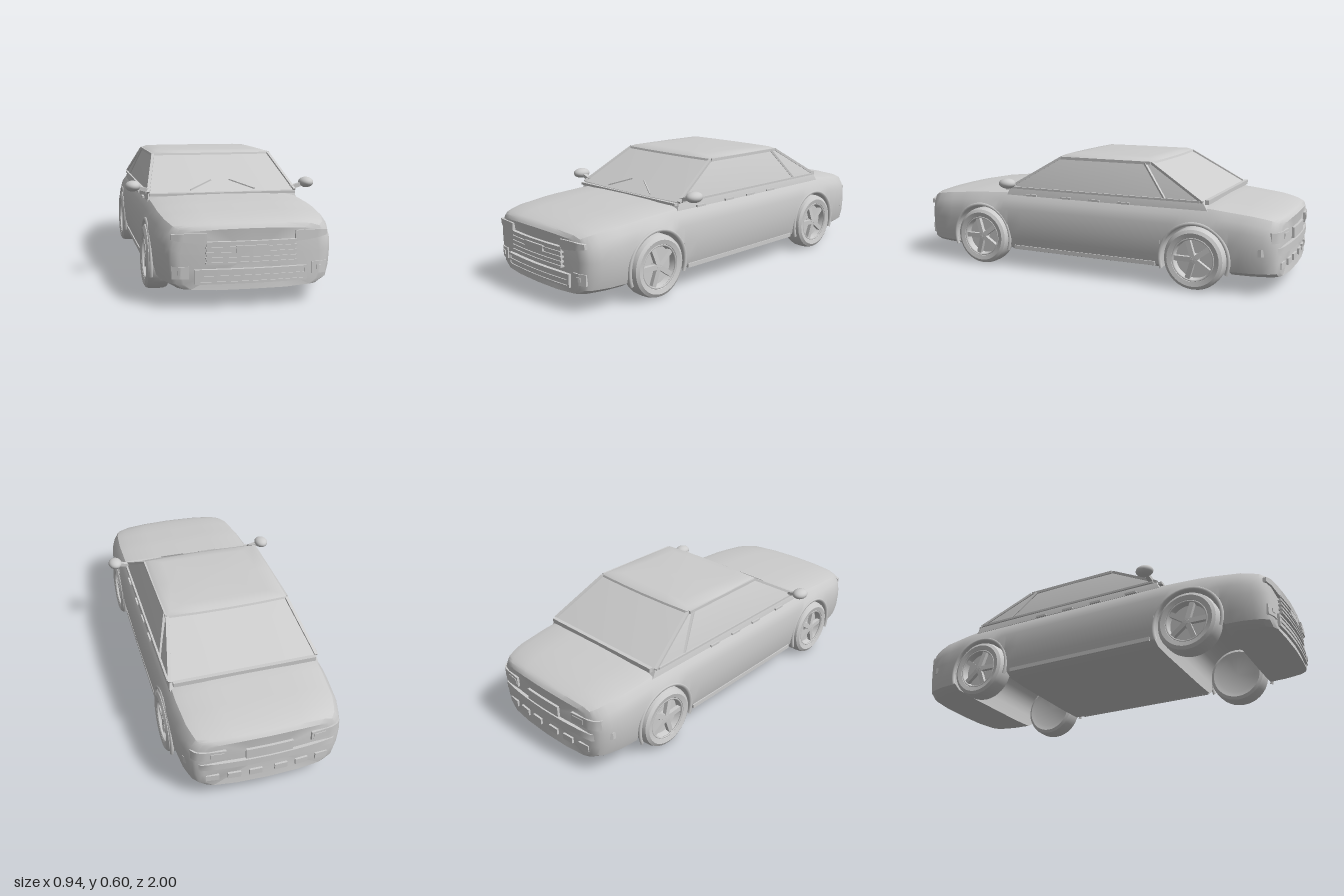
import * as THREE from 'three';
import { toCreasedNormals } from 'three/addons/utils/BufferGeometryUtils.js';

const paint = new THREE.MeshStandardMaterial({ color: 0xcccccc });
paint.name = 'light grey';
const V = (x, y, z) => new THREE.Vector3(x, y, z);

// Linear lookup in a list of [key, value] with falling keys
function lookup(table, k) {
  for (let i = 0; i < table.length - 1; i++) {
    const [a, va] = table[i], [b, vb] = table[i + 1];
    if (k >= b) return va + (vb - va) * Math.min(1, Math.max(0, (a - k) / (a - b)));
  }
  return table[table.length - 1][1];
}

// Closed skin through a list of rings, with end caps
function loft(rings, crease = 0.6) {
  const n = rings[0].length, pos = [], idx = [];
  rings.forEach(r => r.forEach(p => pos.push(...p)));
  for (let i = 0; i < rings.length - 1; i++) for (let j = 0; j < n; j++) {
    const a = i * n + j, b = i * n + (j + 1) % n;
    idx.push(a, b, a + n, b, b + n, a + n);
  }
  [0, rings.length - 1].forEach((r, end) => {
    const c = pos.length / 3;
    pos.push(...[0, 1, 2].map(k => rings[r].reduce((s, p) => s + p[k], 0) / n));
    for (let j = 0; j < n; j++) {
      const a = r * n + j, b = r * n + (j + 1) % n;
      idx.push(c, ...(end ? [a, b] : [b, a]));
    }
  });
  const g = new THREE.BufferGeometry();
  g.setAttribute('position', new THREE.Float32BufferAttribute(pos, 3));
  g.setIndex(idx);
  return toCreasedNormals(g.toNonIndexed(), crease);
}

function add(parent, name, geo) {
  const m = new THREE.Mesh(geo, paint);
  m.name = name;
  parent.add(m);
  return m;
}

// Straight bar between two points
function bar(parent, name, a, b, w, h) {
  const m = add(parent, name, new THREE.BoxGeometry(w, h, a.distanceTo(b)));
  m.position.copy(a).lerp(b, 0.5);
  m.lookAt(b);
  return m;
}

const AXLES = [0.595, -0.585], ARCH = 0.17, WHEEL_Y = 0.15;
const HEIGHT = [[0.99, 0.335], [0.975, 0.352], [0.94, 0.364], [0.85, 0.38], [0.65, 0.4], [0.45, 0.41],
  [-0.65, 0.41], [-0.85, 0.388], [-0.94, 0.37], [-0.975, 0.358], [-0.99, 0.34]];
const WIDTH = [[0.99, 0.3], [0.975, 0.335], [0.94, 0.36], [0.85, 0.385], [0.7, 0.398], [0, 0.402]];
const NOSE = [[0.4, 0.8], [0.375, 0.89], [0.36, 0.923], [0.335, 0.956], [0.3, 0.97], [0.2, 0.981], [0.1, 0.988], [0, 0.99]];

// One cross-section of the lower body; the underside lifts over the axles
function section(z, floor) {
  const t = lookup(HEIGHT, z), w = lookup(WIDTH, Math.abs(z));
  const end = Math.max(0, (Math.abs(z) - 0.9) / 0.09);
  const half = [[0.45, t - 0.002], [0.78, t - 0.008], [0.9, t - 0.02], [0.965, t - 0.055], [0.995, t - 0.1],
    [1, 0.23], [0.985, 0.155], [0.95, 0.105], [0.85, 0.083], [0.5, 0.078]];
  const pts = [[0, t], ...half, [0, 0.078], ...half.map(([x, y]) => [-x, y]).reverse()];
  return pts.map(([x, y]) => [x * w, Math.max(y, floor), z - Math.sign(z) * 0.02 * Math.min(1, end) * x * x]);
}

function bodyShell() {
  const stations = [0.99, 0.985, 0.975, 0.96, 0.94, 0.9, 0.85, 0.8, 0.35, 0.1, -0.15, -0.35,
    -0.8, -0.85, -0.9, -0.94, -0.96, -0.975, -0.985, -0.99].map(z => [z, 0]);
  for (const c of AXLES) {
    stations.push([c + ARCH + 0.0005, 0], [c - ARCH - 0.0005, 0]);
    for (let i = 0; i <= 14; i++) {
      const a = Math.PI * i / 14;
      stations.push([c + ARCH * Math.cos(a), WHEEL_Y + ARCH * Math.sin(a)]);
    }
  }
  stations.sort((a, b) => b[0] - a[0]);
  return loft(stations.map(s => section(...s)));
}

// Horizontal ring of the cabin with bowed front and back
const cabinRing = (y, x, front, back, bow) => [[-x, y, back], [-x / 2, y, back - bow * 0.75], [0, y, back - bow],
  [x / 2, y, back - bow * 0.75], [x, y, back], [x + 0.005, y, (front + back) / 2], [x, y, front],
  [x / 2, y, front + bow * 0.75], [0, y, front + bow], [-x / 2, y, front + bow * 0.75], [-x, y, front],
  [-x - 0.005, y, (front + back) / 2]];

// Thin panel that follows the rounded nose (or tail when back is true)
function panel(parent, name, x0, x1, y0, y1, depth = 0.008, back = false, taper = 0) {
  const g = new THREE.BoxGeometry(x1 - x0, y1 - y0, depth, 12, 1, 1);
  g.translate((x0 + x1) / 2, 0, 0);
  const p = g.attributes.position;
  for (let i = 0; i < p.count; i++) {
    const x = p.getX(i), f = (Math.abs(x) - Math.min(Math.abs(x0), Math.abs(x1))) / (x1 - x0);
    p.setY(i, p.getY(i) * (1 - taper * f * f) + (y0 + y1) / 2 + taper * 0.015 * f);
    p.setZ(i, p.getZ(i) + lookup(NOSE, Math.abs(x)));
  }
  if (back) g.rotateY(Math.PI);
  g.computeVertexNormals();
  return add(parent, name, g);
}
function panelPair(parent, name, x0, x1, ...rest) {
  panel(parent, name, x0, x1, ...rest);
  panel(parent, name, -x1, -x0, ...rest);
}

// Wheel with its outer face on local +y
function wheel() {
  const g = new THREE.Group();
  g.name = 'wheel';
  const profile = [[0, -0.045], [0.1, -0.045], [0.128, -0.055], [0.143, -0.046], [0.149, -0.028], [0.15, 0],
    [0.149, 0.028], [0.143, 0.046], [0.128, 0.055], [0.106, 0.05], [0.1, 0.04], [0.094, 0.012], [0, 0.012]];
  const tyre = new THREE.LatheGeometry(profile.map(p => new THREE.Vector2(...p)), 36);
  add(g, 'tyreAndRim', toCreasedNormals(tyre.toNonIndexed(), 0.6));
  const lip = add(g, 'rimLip', new THREE.TorusGeometry(0.101, 0.005, 6, 36));
  lip.rotation.x = Math.PI / 2;
  lip.position.y = 0.045;
  add(g, 'hub', new THREE.CylinderGeometry(0.022, 0.026, 0.03, 16)).position.y = 0.026;
  for (let i = 0; i < 5; i++) {
    const a = i * Math.PI * 2 / 5 + 0.3;
    bar(g, 'spoke', V(0, 0.034, 0), V(Math.cos(a) * 0.1, 0.028, Math.sin(a) * 0.1), 0.024, 0.02);
  }
  return g;
}

export function createModel() {
  const car = new THREE.Group();
  car.name = 'car';
  add(car, 'body', bodyShell());
  add(car, 'cabin', loft([cabinRing(0.597, 0.2, 0.09, -0.26, 0.01), cabinRing(0.592, 0.27, 0.14, -0.31, 0.01),
    cabinRing(0.578, 0.302, 0.165, -0.338, 0.01), cabinRing(0.418, 0.362, 0.435, -0.615, 0.015),
    cabinRing(0.38, 0.368, 0.45, -0.64, 0.015)], 0.3));

  // Roof skin
  add(car, 'roof', loft([cabinRing(0.6, 0.22, 0.11, -0.28, 0.008), cabinRing(0.596, 0.28, 0.15, -0.318, 0.01),
    cabinRing(0.586, 0.304, 0.168, -0.338, 0.01), cabinRing(0.576, 0.304, 0.172, -0.342, 0.01)], 0.6));

  // Cowl and rear window sill
  bar(car, 'cowl', V(-0.36, 0.41, 0.452), V(0.36, 0.41, 0.452), 0.018, 0.012);
  bar(car, 'rearSill', V(-0.35, 0.417, -0.632), V(0.35, 0.417, -0.632), 0.02, 0.022);

  for (const s of [1, -1]) {
    // Pillars and window frames
    bar(car, 'frontPillar', V(s * 0.363, 0.418, 0.437), V(s * 0.303, 0.58, 0.165), 0.014, 0.012);
    bar(car, 'rearPillar', V(s * 0.362, 0.418, -0.615), V(s * 0.302, 0.58, -0.338), 0.016, 0.012);
    bar(car, 'middlePillar', V(s * 0.364, 0.418, -0.43), V(s * 0.306, 0.58, -0.3), 0.012, 0.01);
    bar(car, 'beltTrim', V(s * 0.368, 0.42, 0.42), V(s * 0.368, 0.42, -0.6), 0.01, 0.01);
    bar(car, 'roofRail', V(s * 0.306, 0.58, 0.16), V(s * 0.306, 0.58, -0.33), 0.012, 0.014);
    // Door details
    for (const z of [0.3, 0.1, -0.06, -0.22])
      bar(car, 'doorTrim', V(s * 0.374, 0.386, z + 0.03), V(s * 0.374, 0.386, z - 0.03), 0.01, 0.01);
    bar(car, 'sill', V(s * 0.384, 0.108, 0.4), V(s * 0.384, 0.108, -0.39), 0.012, 0.02);
    // Wiper
    bar(car, 'wiper', V(s * 0.16, 0.428, 0.436), V(s * 0.045, 0.468, 0.372), 0.005, 0.006);
    // Mirror
    bar(car, 'mirrorArm', V(s * 0.35, 0.425, 0.41), V(s * 0.42, 0.445, 0.405), 0.022, 0.018);
    const mirror = add(car, 'mirror', new THREE.SphereGeometry(1, 20, 14));
    mirror.scale.set(0.037, 0.026, 0.045);
    mirror.position.set(s * 0.433, 0.45, 0.405);

    for (const z of AXLES) {
      const w = wheel();
      w.rotation.z = -s * Math.PI / 2;
      w.position.set(s * 0.355, WHEEL_Y, z);
      car.add(w);
      // Arch lip
      const lip = add(car, 'archLip', new THREE.TorusGeometry(ARCH, 0.009, 6, 28, Math.PI + 0.7).rotateZ(-0.35).rotateY(Math.PI / 2));
      lip.position.set(s * 0.393, WHEEL_Y, z);
    }
  }

  // Nose
  panelPair(car, 'headlight', 0.19, 0.335, 0.273, 0.318, 0.016, false, 0.5);
  panel(car, 'grille', -0.19, 0.19, 0.19, 0.283);
  for (const y of [0.192, 0.213, 0.235, 0.257, 0.279]) panel(car, 'grilleBar', -0.195, 0.195, y - 0.004, y + 0.004, 0.02);
  panel(car, 'frontPlate', -0.07, 0.07, 0.235, 0.265, 0.026);
  panel(car, 'lowerIntake', -0.23, 0.23, 0.112, 0.16);
  for (const y of [0.11, 0.135, 0.162]) panel(car, 'intakeBar', -0.242, 0.242, y - 0.005, y + 0.005, 0.018);
  panelPair(car, 'intakeEnd', 0.23, 0.242, 0.11, 0.162, 0.018);
  panelPair(car, 'fogLightFrame', 0.265, 0.335, 0.128, 0.18, 0.01);
  panelPair(car, 'fogLight', 0.288, 0.31, 0.145, 0.165, 0.018);

  // Tail
  panelPair(car, 'tailLight', 0.2, 0.352, 0.25, 0.3, 0.012, true);
  panelPair(car, 'reverseLight', 0.21, 0.27, 0.262, 0.288, 0.018, true);
  panel(car, 'rearPlate', -0.11, 0.11, 0.232, 0.285, 0.012, true);
  panel(car, 'rearBumper', -0.375, 0.375, 0.19, 0.225, 0.016, true);
  for (const x of [0.03, 0.13, 0.23]) panelPair(car, 'bumperVent', x, x + 0.06, 0.12, 0.15, 0.01, true);
  return car;
}
